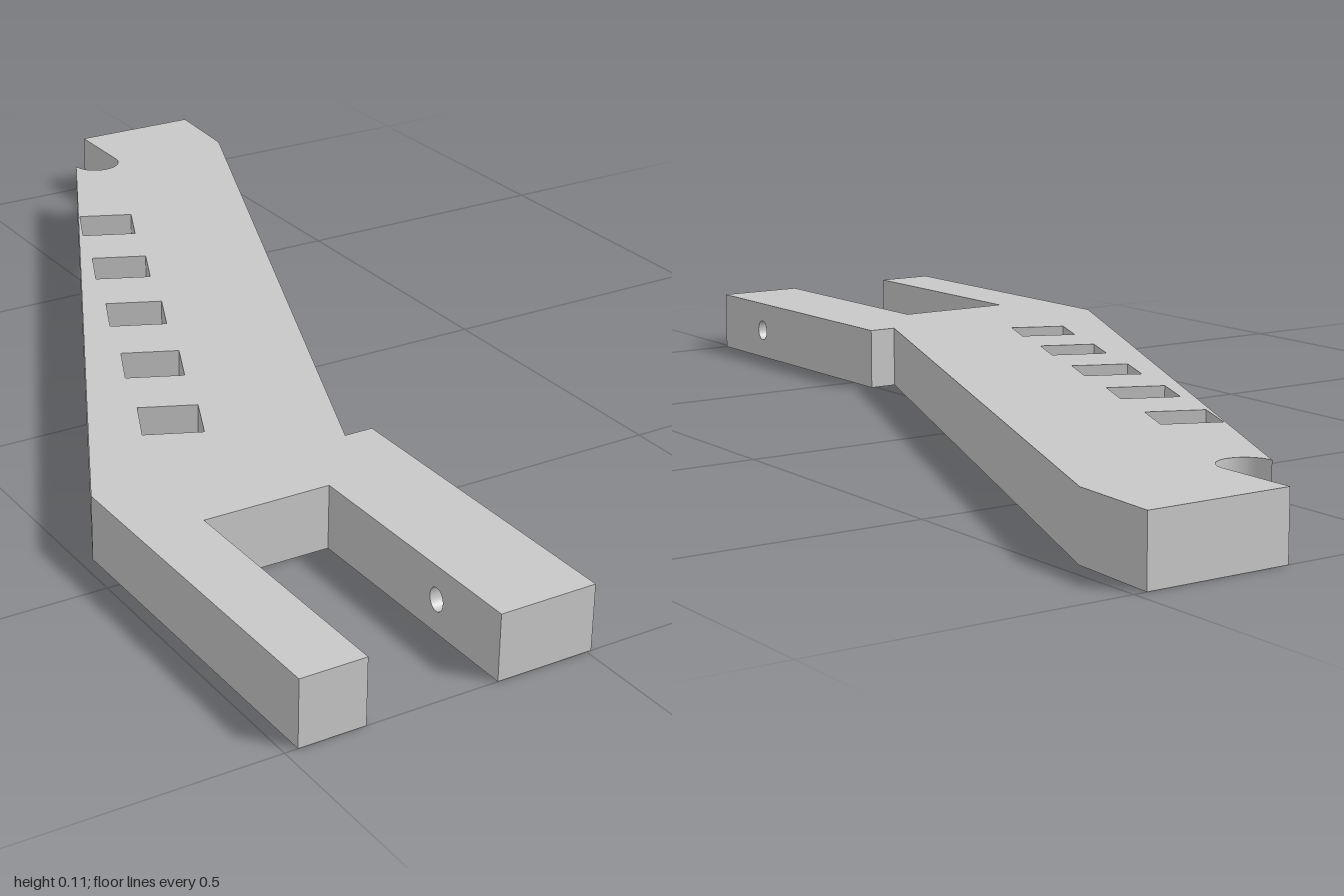
import * as THREE from 'three';

const HEIGHT = 0.108;
const INNER = -0.154, OUTER = 0.008; // side planes of the drilled prong
const ROOT = 0.563, TIP = 1;         // z range of the fork slot

// Remove the triangles whose three corners all satisfy the test
function dropFaces(geometry, test) {
  const p = geometry.attributes.position, kept = [];
  const v = [new THREE.Vector3(), new THREE.Vector3(), new THREE.Vector3()];
  for (let i = 0; i < p.count; i += 3) {
    v.forEach((c, k) => c.fromBufferAttribute(p, i + k));
    if (!test(v)) v.forEach((c) => kept.push(c.x, c.y, c.z));
  }
  const out = new THREE.BufferGeometry();
  out.setAttribute('position', new THREE.Float32BufferAttribute(kept, 3));
  out.computeVertexNormals();
  return out;
}

const near = (a, b) => Math.abs(a - b) < 1e-4;

// Flat bent arm with fork, hook notch and a row of square windows
function armGeometry() {
  const shape = new THREE.Shape();
  const line = (pts) => pts.forEach(([x, z]) => shape.lineTo(x, -z));
  shape.moveTo(-0.479, -0.413);
  line([[0.148, -0.86]]);
  shape.absarc(0.193, 0.86, 0.045, Math.PI, 2 * Math.PI, false);
  line([
    [0.238, -1], [0.479, -1], [0.469, -0.84], [-0.042, 0.434],
    [OUTER, 0.434], [OUTER, ROOT], [OUTER, TIP], [INNER, TIP], [INNER, ROOT],
    [-0.371, ROOT], [-0.371, TIP], [-0.479, TIP],
  ]);
  shape.closePath();

  // Tilted square windows, wound opposite to the outline
  const half = 0.049, ux = 0.915 * half, uz = 0.403 * half;
  for (let i = 0; i < 5; i++) {
    const x = 0.053 - 0.076 * i, z = -0.545 + 0.198 * i;
    const corners = [[-1, -1], [-1, 1], [1, 1], [1, -1]].map(([a, b]) =>
      new THREE.Vector2(x + a * ux - b * uz, -(z + a * uz + b * ux)));
    shape.holes.push(new THREE.Path(corners));
  }

  const g = new THREE.ExtrudeGeometry(shape, { depth: HEIGHT, bevelEnabled: false, curveSegments: 24 });
  g.rotateX(-Math.PI / 2);
  // Leave the two prong sides open for the drilled walls
  return dropFaces(g, (v) => [INNER, OUTER].some((x) =>
    v.every((c) => near(c.x, x) && c.z > ROOT - 1e-4)));
}

// Two side walls of the prong joined by the bore of the pin hole
function drilledGeometry() {
  const shape = new THREE.Shape([
    new THREE.Vector2(-TIP, 0), new THREE.Vector2(-ROOT, 0),
    new THREE.Vector2(-ROOT, HEIGHT), new THREE.Vector2(-TIP, HEIGHT),
  ]);
  shape.holes.push(new THREE.Path().absellipse(-0.848, HEIGHT / 2, 0.016, 0.019, 0, 2 * Math.PI, true));
  const g = new THREE.ExtrudeGeometry(shape, { depth: OUTER - INNER, bevelEnabled: false, curveSegments: 24 });
  g.rotateY(Math.PI / 2);
  g.translate(INNER, 0, 0);
  // Drop the four faces already present on the arm
  return dropFaces(g, (v) => {
    if (v.every((c) => near(c.x, v[0].x))) return false;
    return v.every((c) => near(c.y, 0)) || v.every((c) => near(c.y, HEIGHT))
      || v.every((c) => near(c.z, ROOT)) || v.every((c) => near(c.z, TIP));
  });
}

export function createModel() {
  const grey = new THREE.MeshStandardMaterial({ color: 0xc8c8c8 });
  grey.name = 'light grey';

  const group = new THREE.Group();
  group.name = 'forkedArm';
  const add = (name, geometry) => {
    const mesh = new THREE.Mesh(geometry, grey);
    mesh.name = name;
    group.add(mesh);
  };
  add('armBody', armGeometry());
  add('drilledProngWalls', drilledGeometry());
  return group;
}
